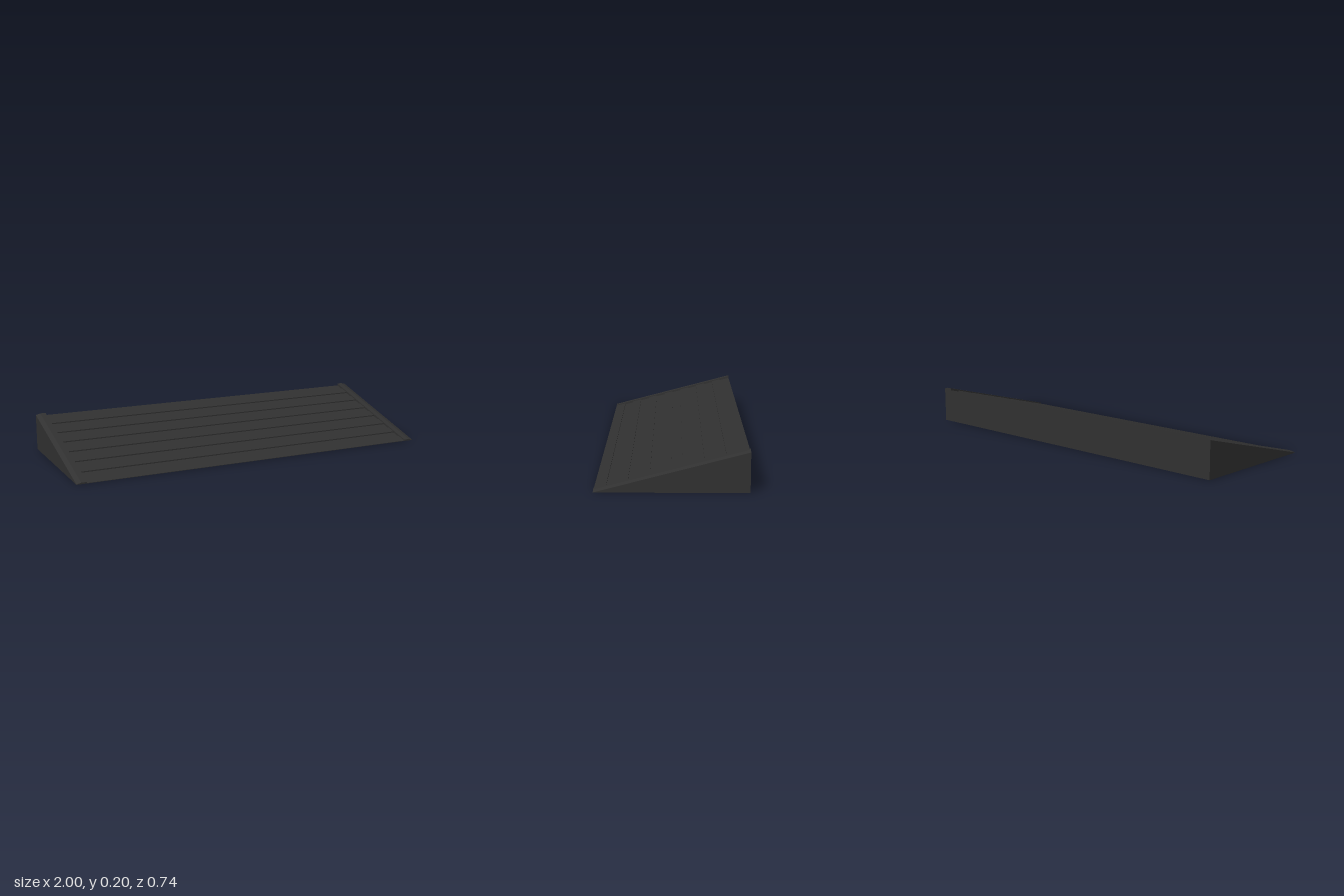
import * as THREE from 'three';

const HALF_DEPTH = 0.368;
const SLOPE = 0.262;
const INNER = 0.945; // half width of the ribbed deck

// Height of the sloping deck surface at a given z
const deckY = (z) => 0.002 + SLOPE * (HALF_DEPTH - z);

// Wedge whose sloping top carries alternating ribs and grooves
function deckGeometry() {
  const strips = 12, first = 0.31, width = 0.62 / strips, groove = 0.006;
  const s = new THREE.Shape();
  s.moveTo(-HALF_DEPTH, 0);
  s.lineTo(HALF_DEPTH, 0);
  s.lineTo(HALF_DEPTH, deckY(HALF_DEPTH));
  let low = 0;
  for (let i = 0; i <= strips; i++) {
    const z = first - i * width;
    s.lineTo(z, deckY(z) - low);
    low = low ? 0 : groove;
    s.lineTo(z, deckY(z) - low);
  }
  s.lineTo(-HALF_DEPTH, deckY(-HALF_DEPTH) - low);
  s.closePath();
  const g = new THREE.ExtrudeGeometry(s, { depth: 2 * INNER, bevelEnabled: false });
  g.translate(0, 0, -INNER);
  g.rotateY(-Math.PI / 2);
  return g;
}

// Side rail: chamfered section, sheared down towards the front
function railGeometry(side) {
  const top = 0.201;
  const section = [[INNER, 0], [1, 0], [1, top - 0.007], [0.975, top], [INNER, top]];
  const s = new THREE.Shape(section.map(([x, y]) => new THREE.Vector2(side * x, y)));
  const g = new THREE.ExtrudeGeometry(s, { depth: 2 * HALF_DEPTH, bevelEnabled: false });
  g.translate(0, 0, -HALF_DEPTH);
  const p = g.attributes.position;
  for (let i = 0; i < p.count; i++) {
    if (p.getY(i) > 0.01) {
      p.setY(i, p.getY(i) - SLOPE * (p.getZ(i) + HALF_DEPTH));
    }
  }
  g.computeVertexNormals();
  return g;
}

export function createModel() {
  const group = new THREE.Group();
  group.name = 'kerbRamp';
  const rubber = new THREE.MeshStandardMaterial({ color: 0x303030 });
  rubber.name = 'black rubber';

  const add = (name, geometry) => {
    const mesh = new THREE.Mesh(geometry, rubber);
    mesh.name = name;
    group.add(mesh);
  };
  add('ribbedDeck', deckGeometry());
  add('leftRail', railGeometry(1));
  add('rightRail', railGeometry(-1));
  return group;
}
